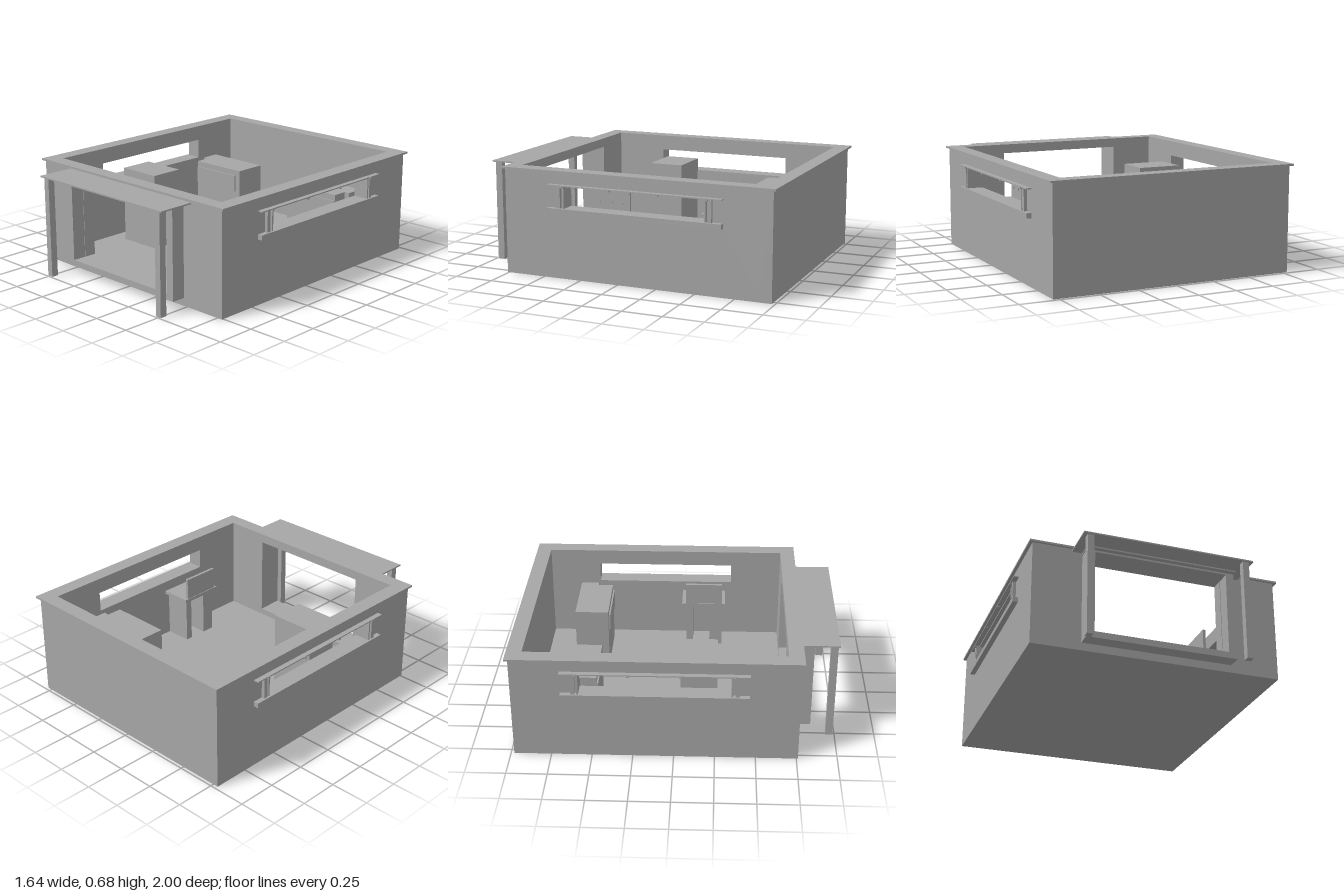
import * as THREE from 'three';

export function createModel() {
  const model = new THREE.Group();
  model.name = 'openRoomBuilding';
  const grey = new THREE.MeshStandardMaterial({ color: 0xa6a6a6 });
  grey.name = 'plain grey';

  const add = (geometry, name, parent = model) => {
    const mesh = new THREE.Mesh(geometry, grey);
    mesh.name = name;
    parent.add(mesh);
    return mesh;
  };
  // Box given by its limits on each axis
  const box = (name, x0, x1, y0, y1, z0, z1, parent) => {
    const g = new THREE.BoxGeometry(Math.abs(x1 - x0), y1 - y0, z1 - z0);
    g.translate((x0 + x1) / 2, (y0 + y1) / 2, (z0 + z1) / 2);
    return add(g, name, parent);
  };
  // Rectangular slab with a rectangular opening
  const rect = (Kind, u0, u1, v0, v1) => new Kind([
    new THREE.Vector2(u0, v0), new THREE.Vector2(u1, v0),
    new THREE.Vector2(u1, v1), new THREE.Vector2(u0, v1)]);
  const pierced = (outer, hole, depth) => {
    const shape = rect(THREE.Shape, ...outer);
    shape.holes.push(rect(THREE.Path, ...hole));
    return new THREE.ExtrudeGeometry(shape, { depth, bevelEnabled: false });
  };

  // Floor and walls
  const top = 0.663;
  box('floor', -0.785, 0.785, 0, 0.05, -0.98, 0.76);
  box('backWall', -0.785, 0.785, 0.05, top, -0.98, -0.905);
  add(pierced([-0.785, 0.785, 0.05, top], [-0.42, 0.42, 0.09, 0.615], 0.08)
    .translate(0, 0, 0.68), 'frontWall');
  for (const x of [0.785, -0.705]) {
    add(pierced([-0.905, 0.68, 0.05, top], [-0.568, 0.345, 0.445, 0.575], 0.08)
      .rotateY(-Math.PI / 2).translate(x, 0, 0), 'sideWall');
  }

  // Coping around the wall tops
  add(pierced([-0.805, 0.805, -0.775, 1.0], [-0.705, 0.705, -0.68, 0.905], 0.012)
    .rotateX(-Math.PI / 2).translate(0, top, 0), 'wallCoping');

  // Door frame, its cap and the porch canopy
  add(pierced([-0.475, 0.475, 0.05, 0.627], [-0.423, 0.423, 0.09, 0.615], 0.09)
    .translate(0, 0, 0.76), 'doorFrame');
  box('doorFrameCap', -0.48, 0.48, 0.627, 0.636, 0.76, 0.88);
  box('canopy', -0.54, 0.54, 0.645, 0.654, 0.76, 1.0);

  for (const s of [-1, 1]) {
    box('canopyPost', s * 0.475, s * 0.515, 0, 0.645, 0.945, 0.99);

    // Window surround outside each side wall
    const surround = new THREE.Group();
    surround.name = 'windowSurround';
    model.add(surround);
    const w = s * 0.785;
    box('windowSill', w, s * 0.818, 0.413, 0.445, -0.678, 0.455, surround);
    box('windowCap', w, s * 0.818, 0.583, 0.59, -0.678, 0.455, surround);
    for (const [z0, z1] of [[0.37, 0.395], [0.345, 0.355], [-0.578, -0.568], [-0.613, -0.588]]) {
      box('windowPost', w, s * 0.806, 0.445, 0.583, z0, z1, surround);
    }
    for (const z of [-0.585, -0.272, 0.041, 0.36]) {
      box('capBracket', s * 0.8, s * 0.821, 0.575, 0.587, z - 0.008, z + 0.008, surround);
    }

    // Cabinets near the back wall
    const cabinet = new THREE.Group();
    cabinet.name = 'backCabinet';
    model.add(cabinet);
    box('cabinetBody', s * 0.218, s * 0.62, 0.05, 0.45, -0.695, -0.475, cabinet);
    box('cabinetSide', s * 0.62, s * 0.657, 0.05, 0.45, -0.695, -0.575, cabinet);
    box('cabinetPanel', s * 0.255, s * 0.618, 0.3, 0.412, -0.475, -0.465, cabinet);
  }

  // Tall block inside the entrance
  box('tallBlock', -0.59, -0.295, 0.05, 0.55, 0.035, 0.26);

  // Desk against the side wall, with an upright screen
  const desk = new THREE.Group();
  desk.name = 'desk';
  model.add(desk);
  box('deskTop', 0.503, 0.705, 0.355, 0.377, 0.01, 0.305, desk);
  box('deskLeg', 0.53, 0.705, 0.05, 0.355, 0.04, 0.085, desk);
  box('deskDrawers', 0.53, 0.705, 0.05, 0.355, 0.2, 0.285, desk);
  box('deskScreen', 0.507, 0.525, 0.377, 0.52, 0.035, 0.283, desk);
  for (const z of [0.08, 0.16, 0.24]) {
    box('screenStud', 0.525, 0.531, 0.44, 0.452, z - 0.006, z + 0.006, desk);
  }

  return model;
}
